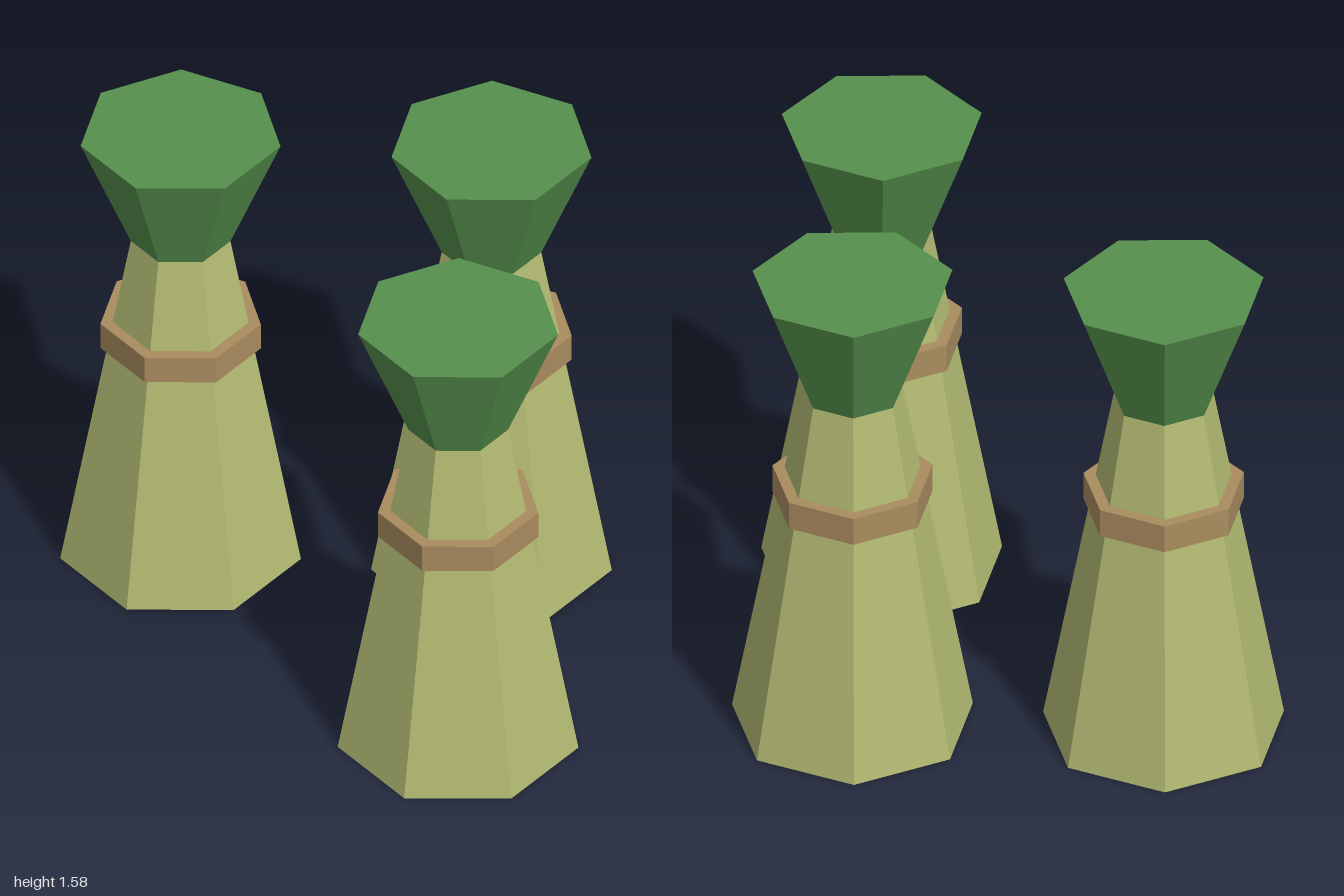
import * as THREE from 'three';

const material = (color) => new THREE.MeshStandardMaterial({ color, flatShading: true });

// Seven-sided tapered section with a corner pointing to the back
function section(name, topRadius, bottomRadius, y0, y1, mat) {
  const geometry = new THREE.CylinderGeometry(topRadius, bottomRadius, y1 - y0, 7, 1, false, Math.PI);
  const mesh = new THREE.Mesh(geometry, mat);
  mesh.name = name;
  mesh.position.y = (y0 + y1) / 2;
  return mesh;
}

export function createModel() {
  const model = new THREE.Group();
  model.name = 'stalkBundles';

  const straw = material(0xb2ba72);
  const rope = material(0xa98c5f);
  const leaf = material(0x56904c);

  // Three identical tied bundles: one behind, two in front
  const places = [
    ['backBundle', 0, -0.338],
    ['rightBundle', -0.632, 0.372],
    ['leftBundle', 0.632, 0.291],
  ];
  for (const [name, x, z] of places) {
    const bundle = new THREE.Group();
    bundle.name = name;
    bundle.position.set(x, 0, z);
    bundle.add(
      section('stalks', 0.156, 0.377, 0, 1.187, straw),
      section('tieBand', 0.251, 0.251, 0.79, 0.883, rope),
      section('leafyTop', 0.313, 0.156, 1.187, 1.58, leaf),
    );
    model.add(bundle);
  }
  return model;
}
